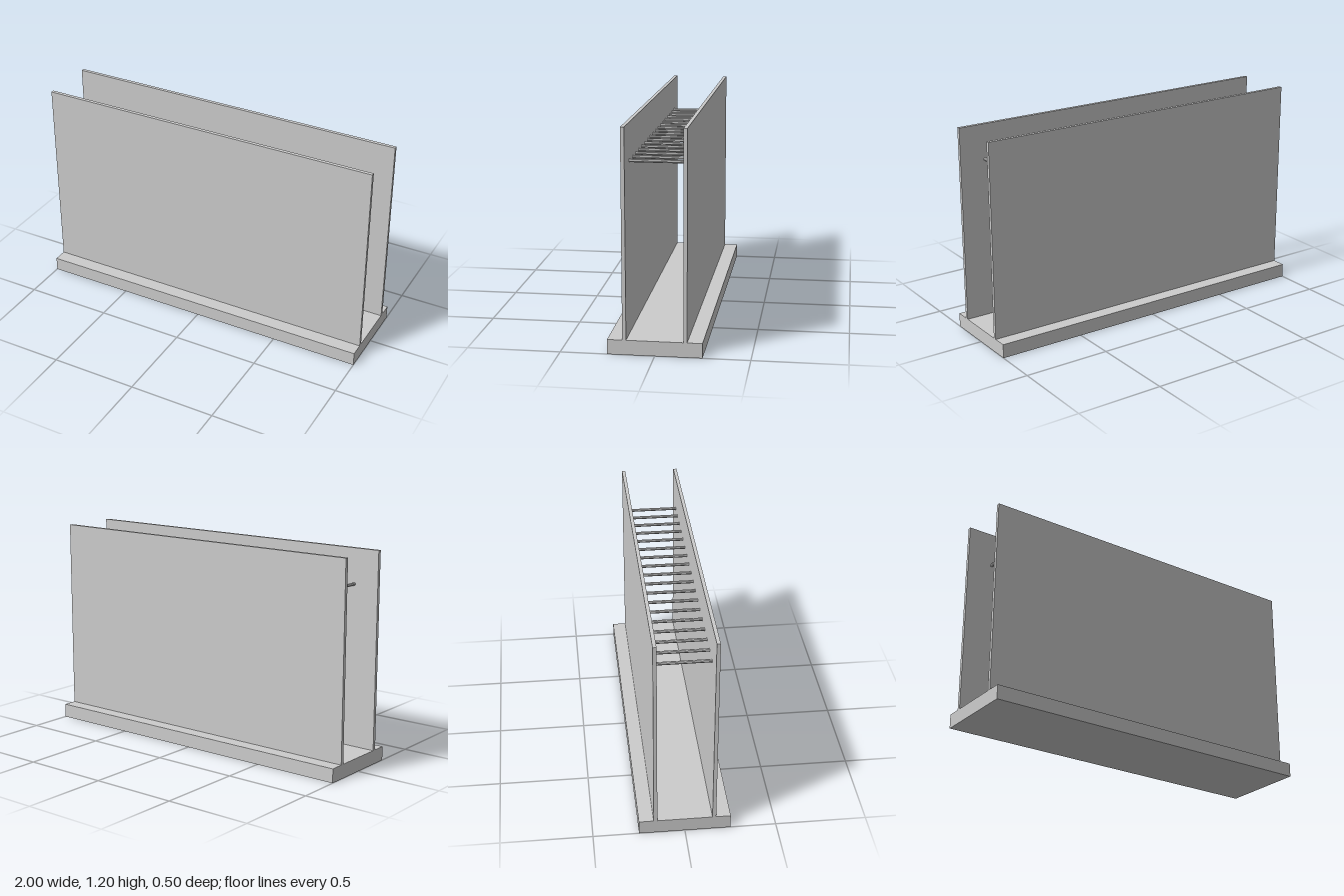
import * as THREE from 'three';

const material = new THREE.MeshStandardMaterial({ color: 0xcccccc, flatShading: true });

function addPart(group, name, geometry, x, y, z) {
  const mesh = new THREE.Mesh(geometry, material);
  mesh.name = name;
  mesh.position.set(x, y, z);
  group.add(mesh);
}

export function createModel() {
  const model = new THREE.Group();
  model.name = 'wallFormwork';

  // Footing slab
  addPart(model, 'footing', new THREE.BoxGeometry(2, 0.08, 0.5), 0, 0.04, 0);

  // Two upright panels standing on the footing
  const panel = new THREE.BoxGeometry(2, 1.12, 0.02);
  addPart(model, 'frontPanel', panel, 0, 0.64, 0.16);
  addPart(model, 'backPanel', panel, 0, 0.64, -0.16);

  // Row of thin tie rods spanning the gap between the panels
  const rod = new THREE.CylinderGeometry(0.009, 0.009, 0.3, 8).rotateX(Math.PI / 2);
  const ties = new THREE.Group();
  ties.name = 'tieRods';
  for (let i = 0; i < 18; i++) addPart(ties, 'tieRod', rod, -0.85 + i * 0.1, 1.001, 0);
  model.add(ties);

  return model;
}
